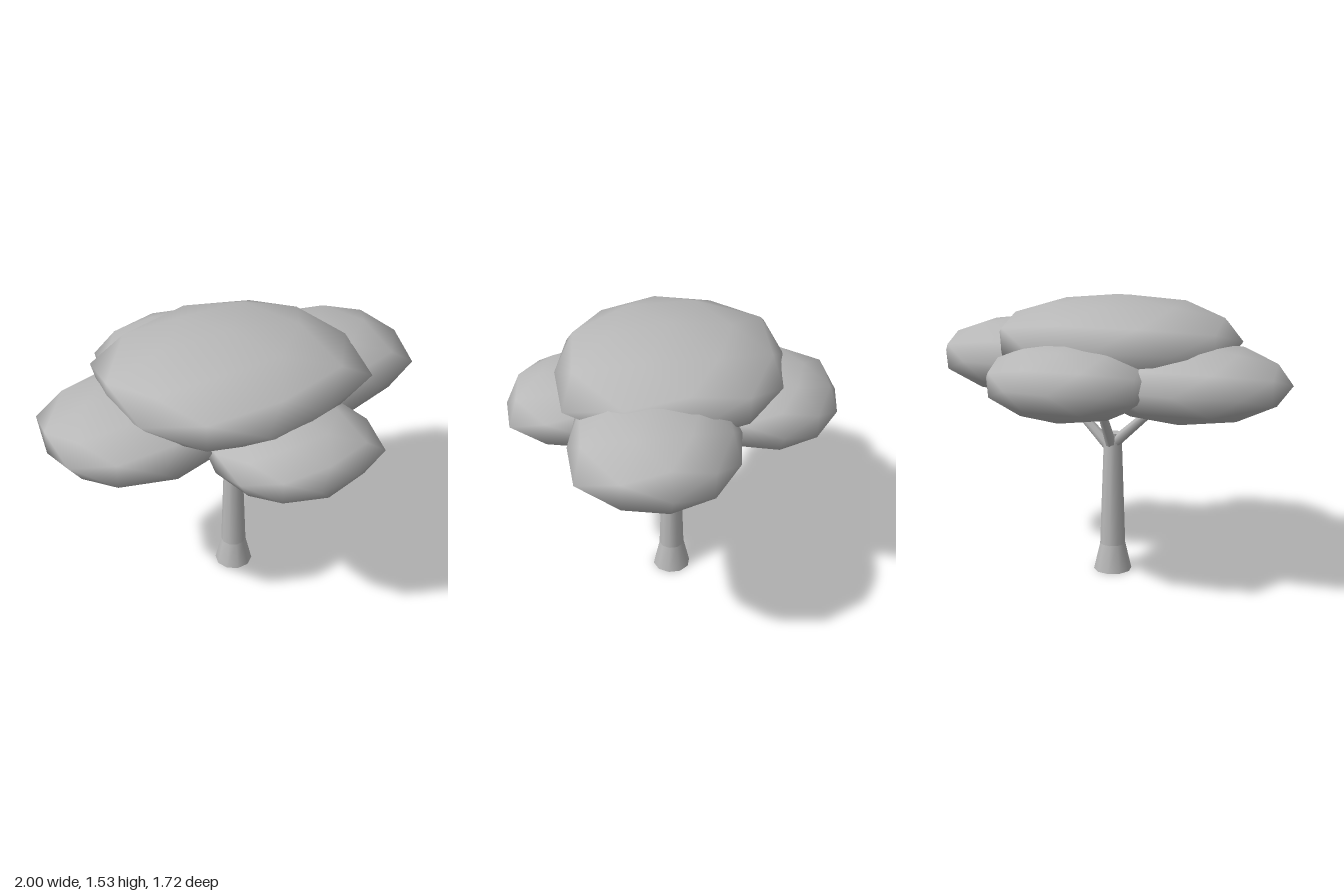
import * as THREE from 'three';
import { mergeVertices } from 'three/addons/utils/BufferGeometryUtils.js';

const grey = new THREE.MeshStandardMaterial({ color: 0xb8b8b8 });
grey.name = 'plain grey';

// Low-poly puff: unit icosphere with two opposite corners pulled outwards
function puffGeometry() {
  let g = new THREE.IcosahedronGeometry(1, 1);
  g.deleteAttribute('uv');
  g.deleteAttribute('normal');
  g = mergeVertices(g, 1e-3);
  g.rotateY(Math.PI / 2);
  const p = g.attributes.position;
  for (let i = 0; i < p.count; i++) {
    const x = p.getX(i), z = p.getZ(i);
    const k = 1 + 0.5 * Math.max(0, x * z) * z * z;
    p.setX(i, x * k);
    p.setZ(i, z * k);
  }
  return g;
}

// Tapered round branch between two points
function branch(name, from, to) {
  const a = new THREE.Vector3(...from), b = new THREE.Vector3(...to);
  const d = b.clone().sub(a);
  const mesh = new THREE.Mesh(new THREE.CylinderGeometry(0.021, 0.031, d.length(), 8), grey);
  mesh.position.copy(a).addScaledVector(d, 0.5);
  mesh.quaternion.setFromUnitVectors(new THREE.Vector3(0, 1, 0), d.normalize());
  mesh.name = name;
  return mesh;
}

export function createModel() {
  const tree = new THREE.Group();
  tree.name = 'tree';

  // Trunk: flared foot and slim stem
  const sections = [
    ['trunkFoot', 0.07, 0.105, 0, 0.15],
    ['trunkStem', 0.048, 0.07, 0.15, 0.78],
  ];
  for (const [name, top, bottom, y0, y1] of sections) {
    const m = new THREE.Mesh(new THREE.CylinderGeometry(top, bottom, y1 - y0, 10), grey);
    m.position.set(-0.025, (y0 + y1) / 2, 0);
    m.name = name;
    tree.add(m);
  }

  // Three branches reaching into the side and back foliage
  tree.add(
    branch('leftBranch', [0, 0.7, 0.01], [0.32, 1.02, 0.08]),
    branch('backBranch', [-0.02, 0.72, -0.02], [0.01, 1.02, -0.21]),
    branch('rightBranch', [-0.04, 0.73, -0.01], [-0.31, 0.98, -0.14]),
  );

  // Foliage: name, centre, half sizes
  const puffs = [
    ['topFoliage', [-0.05, 1.3, 0], [0.67, 0.23, 0.605]],
    ['leftFoliage', [0.47, 1.17, 0.16], [0.53, 0.22, 0.43]],
    ['rightFoliage', [-0.47, 1.12, -0.22], [0.53, 0.205, 0.455]],
    ['backFoliage', [0.08, 1.14, -0.47], [0.44, 0.2, 0.39]],
    ['frontFoliage', [-0.145, 1.09, 0.475], [0.415, 0.185, 0.385]],
  ];
  for (const [name, centre, size] of puffs) {
    const g = puffGeometry().scale(...size);
    g.computeVertexNormals();
    const m = new THREE.Mesh(g, grey);
    m.position.set(...centre);
    m.name = name;
    tree.add(m);
  }
  return tree;
}
